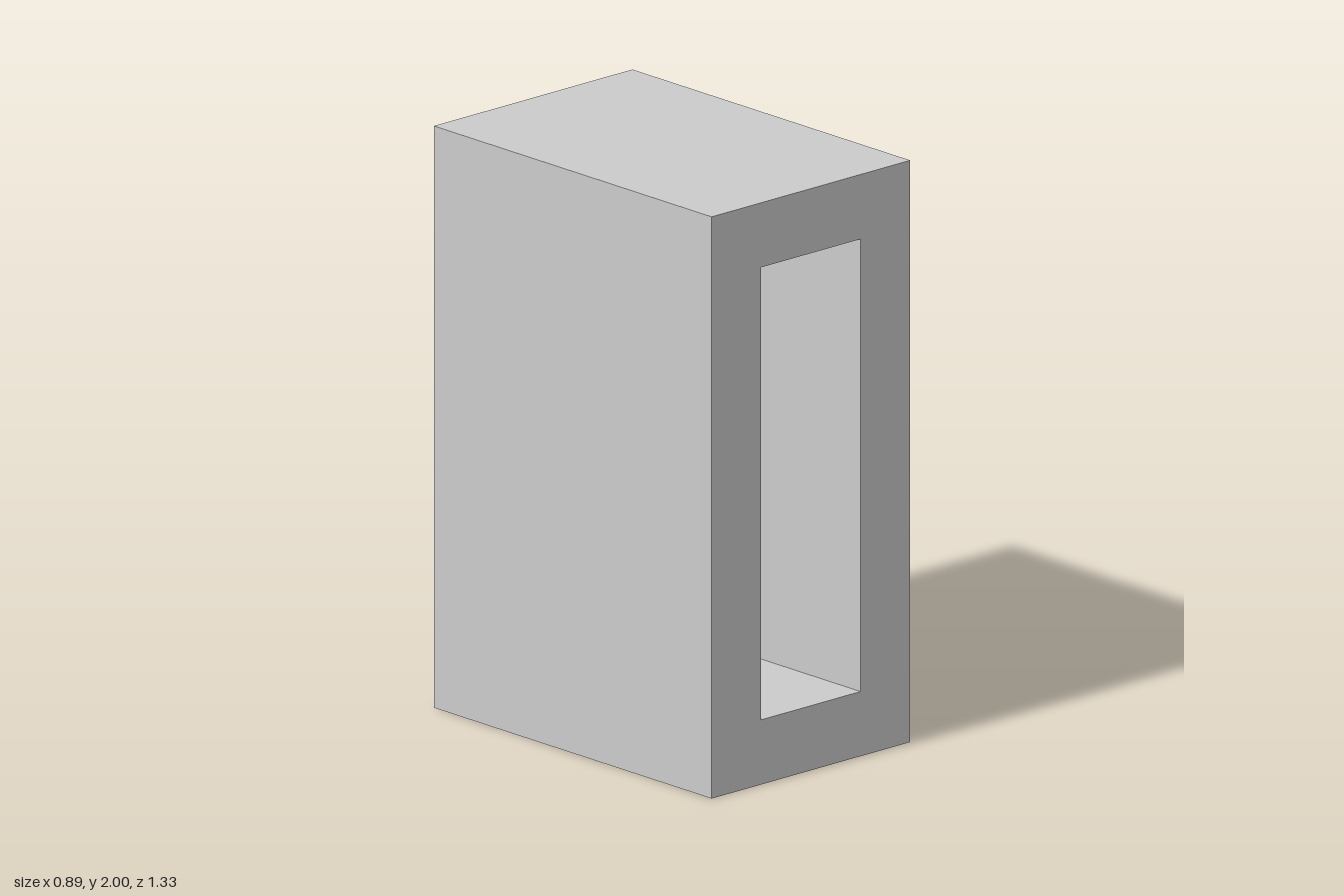
import * as THREE from 'three';

const U = 2 / 9; // wall thickness, used as the module of all sizes
const W = 4 * U, H = 9 * U, D = 6 * U;

// Box without its front (+z) face; inward turns the faces towards the inside
function openBox(w, h, d, inward) {
  const geometry = new THREE.BoxGeometry(w, h, d);
  const index = Array.from(geometry.index.array);
  index.splice(24, 6);
  if (inward) index.reverse();
  geometry.setIndex(index);
  geometry.clearGroups();
  if (inward) {
    const normal = geometry.attributes.normal;
    for (let i = 0; i < normal.array.length; i++) normal.array[i] *= -1;
  }
  return geometry;
}

function rectangle(PathType, w, h) {
  return new PathType([[-w, -h], [w, -h], [w, h], [-w, h]]
    .map(([x, y]) => new THREE.Vector2(x / 2, y / 2)));
}

export function createModel() {
  const group = new THREE.Group();
  group.name = 'hollowCabinet';
  const material = new THREE.MeshStandardMaterial({ color: 0xcccccc });

  const add = (name, geometry, z) => {
    const mesh = new THREE.Mesh(geometry, material);
    mesh.name = name;
    mesh.position.set(0, H / 2, z);
    group.add(mesh);
  };

  // Outer sides, top, bottom and back
  add('outerCase', openBox(W, H, D, false), 0);

  // Recess, leaving a back wall as thick as the top and bottom
  const depth = D - U;
  add('recess', openBox(W - 2 * U, H - 2 * U, depth, true), D / 2 - depth / 2);

  // Front face around the opening
  const face = rectangle(THREE.Shape, W, H);
  face.holes.push(rectangle(THREE.Path, W - 2 * U, H - 2 * U));
  add('frontFrame', new THREE.ShapeGeometry(face), D / 2);

  return group;
}
